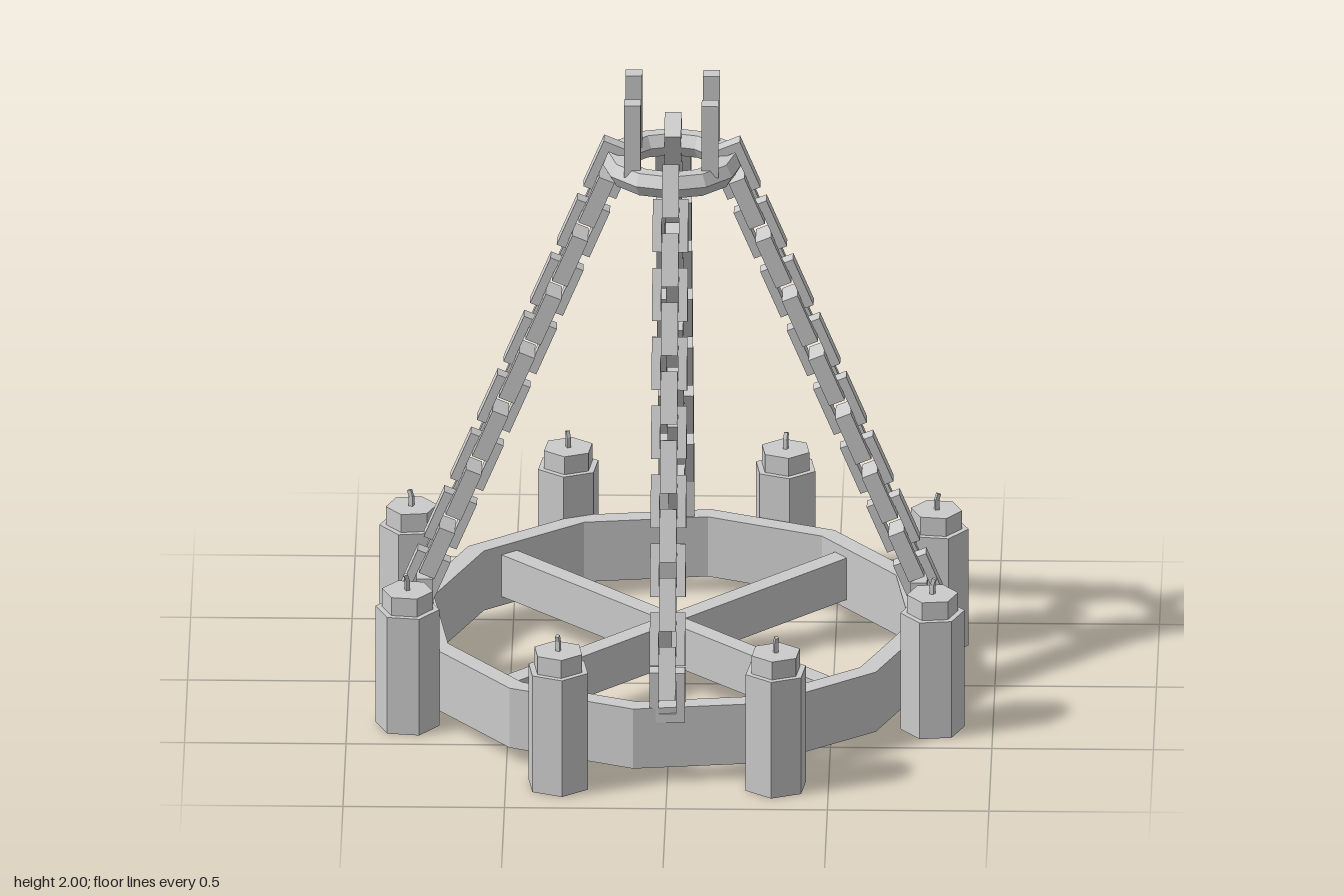
import * as THREE from 'three';

const grey = new THREE.MeshStandardMaterial({ color: 0xcccccc, flatShading: true });

function add(parent, name, geometry, x = 0, y = 0, z = 0) {
  const mesh = new THREE.Mesh(geometry, grey);
  mesh.name = name;
  mesh.position.set(x, y, z);
  parent.add(mesh);
  return mesh;
}

const polygon = (radius, sides, start) =>
  Array.from({ length: sides }, (_, i) => {
    const a = start + (i / sides) * Math.PI * 2;
    return new THREE.Vector2(radius * Math.cos(a), radius * Math.sin(a));
  });

const rectangle = (w, h) => [[-w, -h], [w, -h], [w, h], [-w, h]]
  .map(([x, y]) => new THREE.Vector2(x / 2, y / 2));

// Outline with a hole, given depth
function frame(outer, inner, depth) {
  const shape = new THREE.Shape(outer);
  shape.holes.push(new THREE.Path(inner));
  return new THREE.ExtrudeGeometry(shape, { depth, bevelEnabled: false });
}

const linkGeometry = frame(rectangle(0.11, 0.165), rectangle(0.054, 0.109), 0.052)
  .translate(0, 0, -0.026);

// Chain of alternating links running down and outward along +x
function makeChain() {
  const chain = new THREE.Group();
  chain.name = 'chain';
  const run = new THREE.Group();
  run.name = 'chainLinks';
  run.position.set(0.16, 1.81, 0);
  run.rotation.z = Math.atan2(0.64, 1.53);
  for (let i = 0; i < 15; i++) {
    const link = add(run, 'chainLink', linkGeometry, 0, -0.082 - i * 0.1067, 0);
    if (i % 2) link.rotation.y = Math.PI / 2;
  }
  chain.add(run);
  // Upright link fixed into the ring
  add(chain, 'anchorLink', linkGeometry, 0.765, 0.285, 0).rotation.y = Math.PI / 2;
  return chain;
}

// Hexagonal holder with a candle and bent wick
function makeCandle() {
  const candle = new THREE.Group();
  candle.name = 'candle';
  const prism = (r, h) => new THREE.CylinderGeometry(r, r, h, 6).rotateY(0);
  add(candle, 'candleHolder', prism(0.1, 0.39), 0, 0.195, 0);
  add(candle, 'candleWax', prism(0.08, 0.06), 0, 0.42, 0);
  add(candle, 'wick', new THREE.BoxGeometry(0.013, 0.035, 0.013), 0, 0.465, 0);
  add(candle, 'wickTip', new THREE.BoxGeometry(0.012, 0.025, 0.012), 0.003, 0.49, 0).rotation.z = -0.3;
  return candle;
}

export function createModel() {
  const model = new THREE.Group();
  model.name = 'chandelier';

  // Twelve-sided main ring
  const start = Math.PI / 8;
  const ring = frame(polygon(0.807, 12, start), polygon(0.745, 12, start), 0.2);
  add(model, 'mainRing', ring.rotateX(-Math.PI / 2), 0, 0.05, 0);

  // Crossed beams inside the ring
  for (const side of [-1, 1]) {
    const beam = add(model, 'crossBeam', new THREE.BoxGeometry(1.5, 0.14, 0.06), 0, 0.15, 0);
    beam.rotation.y = side * Math.PI / 4;
  }

  // Candles around the ring, one flat face turned inward
  for (let i = 0; i < 8; i++) {
    const a = Math.PI / 8 + i * Math.PI / 4;
    const candle = makeCandle();
    candle.position.set(0.88 * Math.cos(a), 0, -0.88 * Math.sin(a));
    candle.rotation.y = a;
    model.add(candle);
  }

  // Small top ring with a six-sided section
  const topRing = new THREE.TorusGeometry(0.175, 0.042, 6, 12).rotateX(Math.PI / 2);
  add(model, 'topRing', topRing, 0, 1.747, 0);

  // Chains on the axes, hanging posts on the diagonals
  for (let i = 0; i < 4; i++) {
    const chain = makeChain();
    chain.rotation.y = i * Math.PI / 2;
    model.add(chain);
    const a = Math.PI / 4 + i * Math.PI / 2;
    add(model, 'hangingPost', new THREE.BoxGeometry(0.052, 0.24, 0.052),
      0.17 * Math.cos(a), 1.88, 0.17 * Math.sin(a));
  }
  return model;
}
